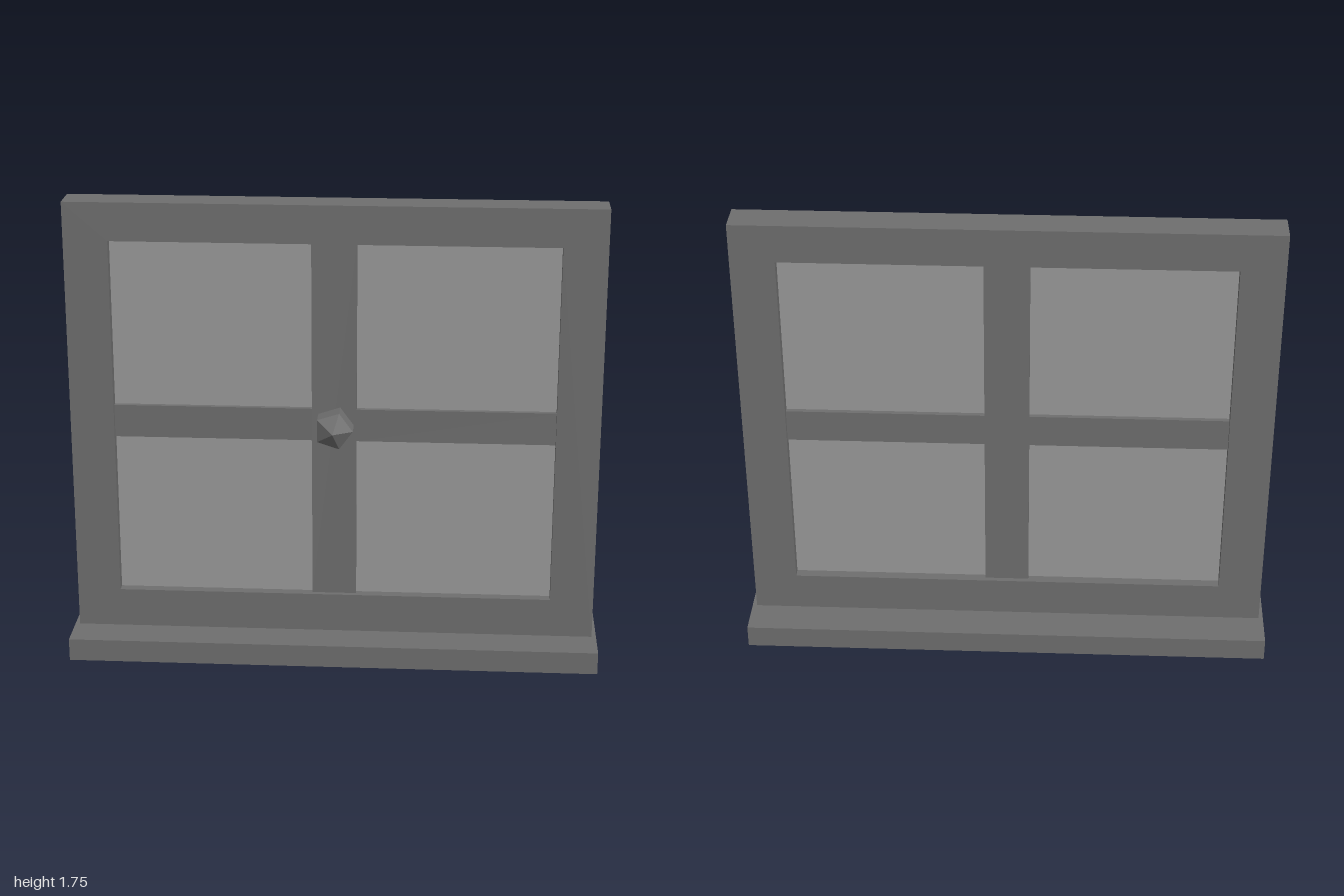
import * as THREE from 'three';

export function createModel() {
  const group = new THREE.Group();
  const frameGrey = new THREE.MeshStandardMaterial({ color: 0x6e6e6e });
  frameGrey.name = 'frame grey';
  const paneGrey = new THREE.MeshStandardMaterial({ color: 0x999999 });
  paneGrey.name = 'pane grey';

  const add = (name, geometry, material, x, y, z) => {
    const mesh = new THREE.Mesh(geometry, material);
    mesh.name = name;
    mesh.position.set(x, y, z);
    group.add(mesh);
  };

  const sillTop = 0.086, top = 1.75, halfWidth = 0.983, depth = 0.126;
  const left = -0.82, right = 0.82, low = 0.235, high = 1.607;
  const midY = 0.914, barX = 0.083, barY = 0.062, barDepth = 0.088;

  // Sill board
  add('sill', new THREE.BoxGeometry(2, sillTop, 0.414), frameGrey, 0, sillTop / 2, 0);

  // Outer frame with one rectangular opening
  const rect = (path, x0, y0, x1, y1) =>
    path.moveTo(x0, y0).lineTo(x1, y0).lineTo(x1, y1).lineTo(x0, y1).closePath();
  const outline = new THREE.Shape();
  rect(outline, -halfWidth, sillTop, halfWidth, top);
  const opening = new THREE.Path();
  rect(opening, left, low, right, high);
  outline.holes.push(opening);
  add('frame', new THREE.ExtrudeGeometry(outline, { depth, bevelEnabled: false }),
    frameGrey, 0, 0, -depth / 2);

  // Cross bars, slightly recessed; horizontal bar in two halves
  add('verticalBar', new THREE.BoxGeometry(barX * 2, high - low, barDepth),
    frameGrey, 0, (low + high) / 2, 0);
  const paneWidth = right - barX;
  for (const side of [-1, 1]) {
    const x = side * (barX + right) / 2;
    const name = side > 0 ? 'left' : 'right';
    add(name + 'HorizontalBar', new THREE.BoxGeometry(paneWidth, barY * 2, barDepth),
      frameGrey, x, midY, 0);
    // Panes above and below the bar
    for (const [label, y0, y1] of [['Lower', low, midY - barY], ['Upper', midY + barY, high]]) {
      add(name + label + 'Pane', new THREE.BoxGeometry(paneWidth, y1 - y0, 0.052),
        paneGrey, x, (y0 + y1) / 2, 0);
    }
  }

  // Faceted five-sided knob on the front
  const knob = new THREE.SphereGeometry(0.084, 5, 3, Math.PI).rotateX(Math.PI / 2).toNonIndexed();
  knob.computeVertexNormals();
  add('knob', knob, frameGrey, 0, midY, 0.074);

  return group;
}
